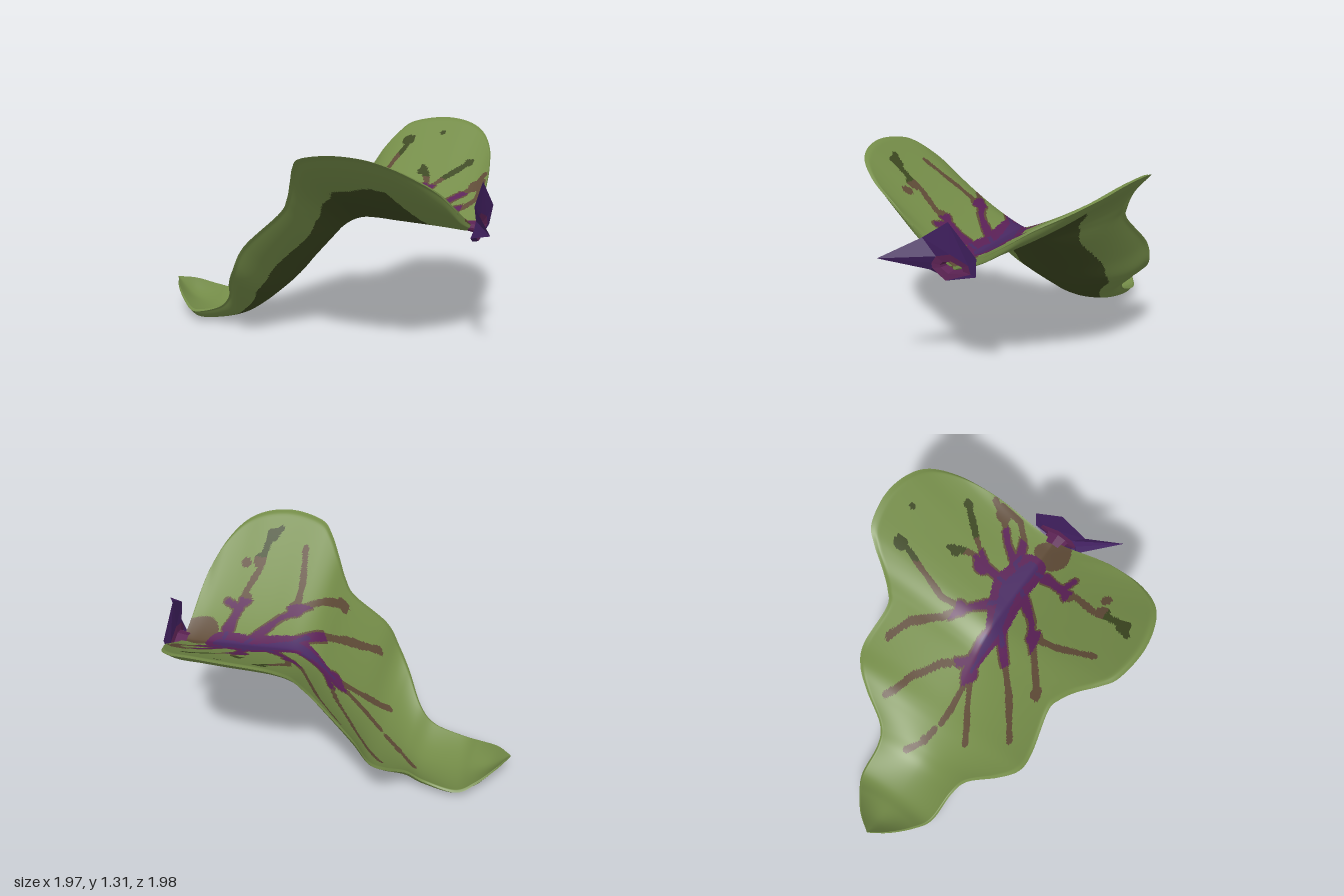
import * as THREE from 'three';

const mat = (name, color, extra = {}) => {
  const m = new THREE.MeshStandardMaterial({ color, ...extra });
  m.name = name;
  return m;
};

// Half outline, base to tip: rim length, rim width, rim height, midrib length, midrib height
const PROFILE = [
  [-0.80, 0.00, 0.79, -0.80, 0.79], [-0.78, 0.10, 0.84, -0.79, 0.79], [-0.76, 0.33, 0.985, -0.76, 0.79],
  [-0.73, 0.49, 1.09, -0.72, 0.79], [-0.67, 0.67, 1.19, -0.65, 0.795], [-0.57, 0.81, 1.275, -0.55, 0.80],
  [-0.43, 0.88, 1.325, -0.42, 0.805], [-0.25, 0.905, 1.335, -0.28, 0.81], [-0.06, 0.87, 1.30, -0.16, 0.815],
  [0.02, 0.80, 1.235, -0.06, 0.81], [0.09, 0.70, 1.13, 0.02, 0.78], [0.15, 0.63, 1.01, 0.09, 0.73],
  [0.22, 0.60, 0.91, 0.17, 0.65], [0.44, 0.64, 0.70, 0.36, 0.45], [0.54, 0.62, 0.53, 0.48, 0.32],
  [0.63, 0.52, 0.41, 0.57, 0.235], [0.74, 0.35, 0.26, 0.70, 0.13], [0.85, 0.30, 0.16, 0.82, 0.065],
  [1.05, 0.285, 0.10, 1.02, 0.04], [1.167, 0.22, 0.13, 1.13, 0.065], [1.285, 0.115, 0.19, 1.25, 0.11],
  [1.365, 0.00, 0.215, 1.365, 0.215],
];
const spline = (f) => new THREE.CatmullRomCurve3(PROFILE.map(f), false, 'catmullrom', 0.5);
const rimCurve = spline(([u, v, y]) => new THREE.Vector3(u, v, y));
const midCurve = spline((p) => new THREE.Vector3(p[3], p[4], 0));

// Veins as polylines of [x, z]
const MIDRIB = [[0.4, 0.38], [0.27, 0.2], [0, 0.06], [-0.16, -0.13]];
const VEINS = [
  MIDRIB,
  [[-0.16, -0.13], [-0.35, -0.19], [-0.53, -0.24]],
  [[-0.16, -0.13], [-0.3, -0.28], [-0.36, -0.37]],
  [[-0.38, -0.42], [-0.43, -0.51], [-0.45, -0.63]],
  [[0, 0], [-0.1, -0.12], [-0.06, -0.3], [-0.07, -0.5], [-0.12, -0.7]],
  [[0.2, 0.12], [0.17, -0.1], [0.15, -0.25], [0.18, -0.45], [0.14, -0.6]],
  [[0.17, -0.1], [0.25, -0.23], [0.42, -0.33], [0.58, -0.42]],
  [[0.3, 0.2], [0.42, 0.08], [0.5, 0], [0.53, -0.13]],
  [[0.42, 0.08], [0.6, 0.05], [0.8, 0.04]],
  [[0.4, 0.28], [0.55, 0.25], [0.7, 0.25], [0.8, 0.22]],
  [[0.45, 0.3], [0.58, 0.36], [0.68, 0.36], [0.77, 0.26]],
  [[0.1, 0.1], [-0.2, 0.08], [-0.4, 0.07], [-0.63, 0.03]],
  [[0.25, 0.28], [0, 0.29], [-0.12, 0.26], [-0.25, 0.25], [-0.48, 0.22]],
  [[-0.12, 0.27], [-0.25, 0.4], [-0.38, 0.57]],
  [[0.35, 0.4], [0.15, 0.52], [0.08, 0.58], [-0.08, 0.65], [-0.2, 0.75], [-0.32, 0.77]],
  [[0.3, 0.45], [0.17, 0.52], [0.2, 0.6]],
];
// Swollen spots on the veins: x, z, radius
const SPOTS = [
  [0.55, -0.42, 0.045], [-0.42, -0.5, 0.032], [-0.1, 0.69, 0.045], [-0.25, 0.77, 0.045], [0.51, -0.1, 0.032],
  [-0.02, 0.74, 0.035], [-0.45, 0.22, 0.035], [0.78, 0.04, 0.032], [0.75, -0.31, 0.018], [-0.12, 0.28, 0.05],
  [-0.17, -0.14, 0.05], [0.18, -0.13, 0.042], [0.42, 0.05, 0.045], [0.72, 0.25, 0.045], [0.1, 0.54, 0.04],
];

function distToLine(x, z, line) {
  let best = Infinity;
  for (let i = 0; i + 1 < line.length; i++) {
    const [ax, az] = line[i], dx = line[i + 1][0] - ax, dz = line[i + 1][1] - az;
    const k = THREE.MathUtils.clamp(((x - ax) * dx + (z - az) * dz) / (dx * dx + dz * dz), 0, 1);
    best = Math.min(best, Math.hypot(x - ax - k * dx, z - az - k * dz));
  }
  return best;
}

// Material index: 0 green, 1 dark olive, 2 brown, 3 plum, 4 violet
function topColour(x, z) {
  const r = Math.hypot(x - 0.28, z - 0.24), side = Math.abs(x - z);
  const core = distToLine(x, z, MIDRIB);
  const vein = Math.min(...VEINS.map((line) => distToLine(x, z, line)));
  const spot = Math.min(...SPOTS.map(([sx, sz, sr]) => Math.hypot(x - sx, z - sz) - sr + 0.02));
  const d = Math.min(vein, spot);
  const wobble = 0.004 * Math.sin(23 * x + 5) * Math.sin(27 * z);
  const width = 0.02 + 0.03 * Math.max(0, 1 - core / 0.2) * Math.max(0, 1 - r / 0.6) + wobble;
  const inner = core < (z > 0.4 ? 0.34 : 0.28) && x + z > -0.42 + 0.9 * side && x + z < 0.93;
  if (core < 0.06 - 0.09 * r + wobble || (vein < 0.014 && core < 0.1 && r < 0.42)) return 4;
  if (inner && (d < width || core < 0.135 - 0.2 * r)) return 3;
  if (d < width + (inner ? 0.012 : 0)) {
    const farLobe = (side > 0.82 && (z > 0.6 || x > 0.3)) || (x > 0.45 && z < 0.1 && r > 0.36);
    return farLobe ? 1 : 2;
  }
  return Math.hypot(x - 0.45, z - 0.53) < 0.12 + 3 * wobble ? 2 : 0;
}

function underColour(x, z, s, t) {
  const u = -(x + z) / Math.SQRT2, v = Math.abs(x - z) / Math.SQRT2;
  const jag = 0.03 * Math.sin(31 * t) + 0.015 * Math.sin(83 * t + 1);
  const limit = THREE.MathUtils.lerp(0.68, 0.53, THREE.MathUtils.smoothstep(t, 0.34, 0.46));
  return u > -0.56 + 0.15 * v + jag && u < 1.02 && Math.abs(s) < limit + jag ? 1 : 0;
}

// One face of the blade: rows run base to tip, columns run rim to rim
function bladeFace(top, materials, rows = 230, cols = 150) {
  const pos = [], params = [], buckets = materials.map(() => []);
  for (let i = 0; i <= rows; i++) {
    const t = i / rows, rim = rimCurve.getPoint(t), mid = midCurve.getPoint(t);
    const power = 1.22 + 0.68 * THREE.MathUtils.smoothstep(t, 0.5, 0.67);
    for (let j = 0; j <= cols; j++) {
      const s = (2 * j) / cols - 1, a = Math.abs(s);
      const u = THREE.MathUtils.lerp(mid.x, rim.x, a * a), v = rim.y * s;
      let y = THREE.MathUtils.lerp(mid.y, rim.z, Math.pow(a, power));
      // rounded lip above, body thickness below
      const lip = THREE.MathUtils.smoothstep(a, 0.94, 1);
      y -= 0.018 * lip * lip;
      if (!top) y -= (0.033 + 0.05 * a * a) * (1 - Math.pow(a, 6)) * Math.min(1, 12 * t, 12 * (1 - t));
      pos.push((v - u) / Math.SQRT2, Math.max(y, 0), (-u - v) / Math.SQRT2);
      params.push([s, t]);
    }
  }
  const addFace = (a, b, c) => {
    const x = (pos[3 * a] + pos[3 * b] + pos[3 * c]) / 3;
    const z = (pos[3 * a + 2] + pos[3 * b + 2] + pos[3 * c + 2]) / 3;
    const k = top ? topColour(x, z) : underColour(x, z, ...params[a]);
    buckets[k].push(...(top ? [a, b, c] : [a, c, b]));
  };
  for (let i = 0; i < rows; i++) for (let j = 0; j < cols; j++) {
    const a = i * (cols + 1) + j, b = a + cols + 1;
    addFace(a, a + 1, b);
    addFace(a + 1, b + 1, b);
  }
  const geo = new THREE.BufferGeometry();
  geo.setAttribute('position', new THREE.Float32BufferAttribute(pos, 3));
  geo.setIndex(buckets.flat());
  let start = 0;
  buckets.forEach((list, k) => {
    if (list.length) geo.addGroup(start, list.length, k);
    start += list.length;
  });
  geo.computeVertexNormals();
  return new THREE.Mesh(geo, materials);
}

// Closed band of quads between two loops of equal length
function band(name, outer, inner, material) {
  const pts = [];
  outer.forEach((p, i) => {
    const n = (i + 1) % outer.length;
    pts.push(p, outer[n], inner[i], outer[n], inner[n], inner[i]);
  });
  const geo = new THREE.BufferGeometry().setFromPoints(pts);
  geo.computeVertexNormals();
  const mesh = new THREE.Mesh(geo, material);
  mesh.name = name;
  return mesh;
}

export function createModel() {
  const group = new THREE.Group();
  const both = { side: THREE.DoubleSide };
  const leafMats = [
    mat('leafGreen', 0x748c48), mat('darkOlive', 0x3c4720), mat('veinBrown', 0x5e4a36),
    mat('plum', 0x5a2056), mat('violet', 0x482862),
  ];
  const collarPurple = mat('collarPurple', 0x412060, both);
  const throatPlum = mat('throatPlum', 0x5c2254, both);

  // Leaf blade
  const upper = bladeFace(true, leafMats);
  upper.name = 'leafUpperFace';
  const under = bladeFace(false, leafMats);
  under.name = 'leafUnderside';
  group.add(upper, under);

  // Faceted collar at the stalk end, with one long point
  const centre = new THREE.Vector3(0.585, 0.79, 0.585);
  const outer = [
    [0.735, 0.89, 0.47], [0.59, 1.07, 0.60], [0.47, 0.95, 0.73], [0.44, 0.835, 0.99],
    [0.47, 0.75, 0.69], [0.54, 0.70, 0.58], [0.71, 0.77, 0.47],
  ].map((p) => new THREE.Vector3(...p));
  const ring = (rx, ry, push) => outer.map((p) => {
    const d = p.clone().sub(centre), side = (d.x - d.z) / Math.SQRT2;
    const a = Math.atan2(d.y, side), w = (rx * Math.cos(a)) / Math.SQRT2;
    return new THREE.Vector3(centre.x + w + push, centre.y + ry * Math.sin(a), centre.z - w + push);
  });
  const lip = ring(0.135, 0.085, 0.005), hole = ring(0.08, 0.04, 0), neck = ring(0.06, 0.03, -0.05);
  const collar = new THREE.Group();
  collar.name = 'collar';
  collar.add(
    band('collarSheet', outer, lip, collarPurple),
    band('throatLip', lip, hole, throatPlum),
    band('throatTube', hole, neck, throatPlum),
  );
  group.add(collar);
  return group;
}
